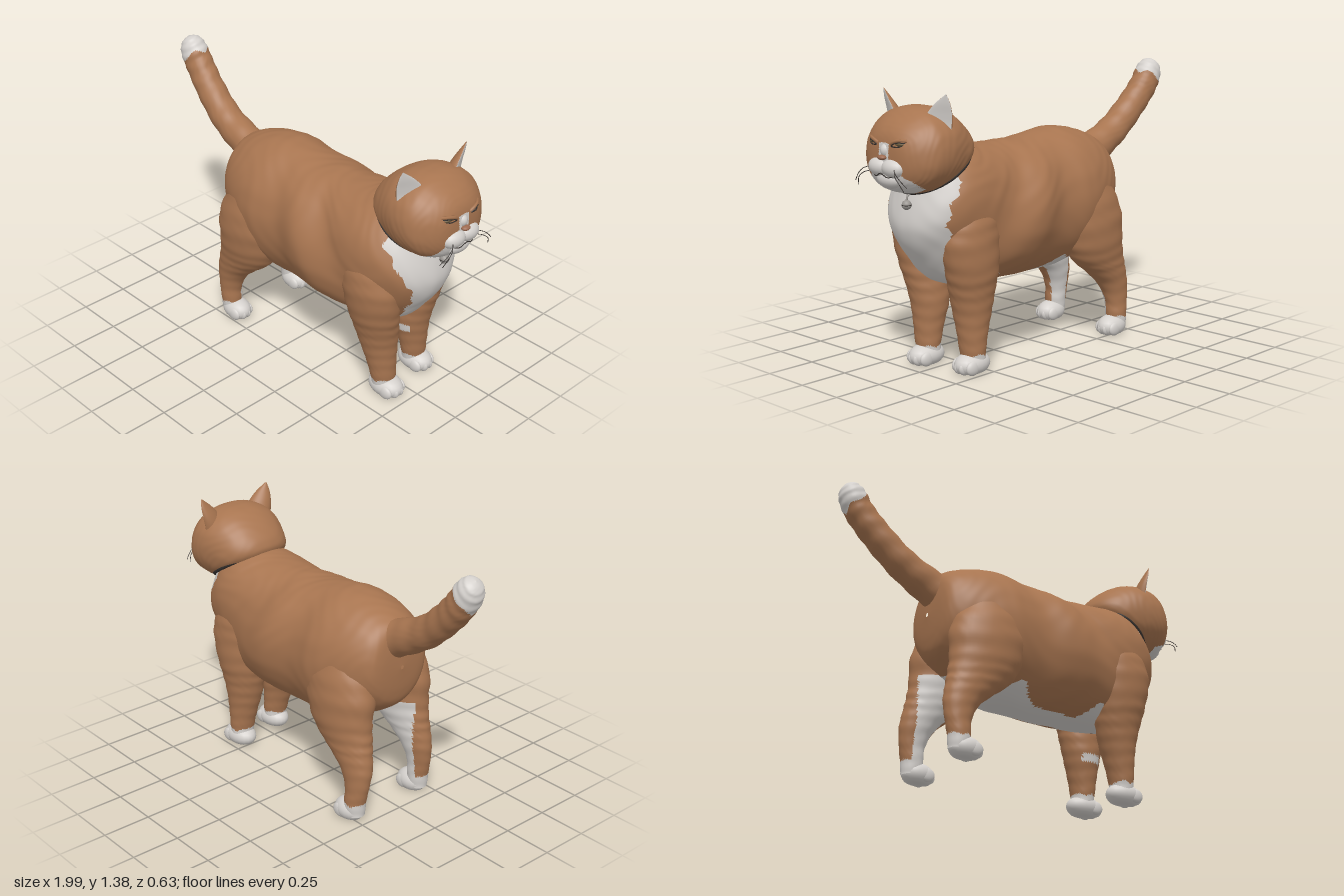
import * as THREE from 'three';

const mat = (name, color) => Object.assign(new THREE.MeshStandardMaterial({ color }), { name });
const fur = mat('ginger fur', 0xa87550);
const white = mat('white fur', 0xd4d0cc);
const dark = mat('dark collar and lines', 0x35302d);
const nosePink = mat('nose skin', 0x9c6a50);
const metal = mat('bell metal', 0x9a9691);
const iris = mat('eye', 0x6b5a3c);

// Catmull-Rom blend of four rows of numbers
function blend(rows, t) {
  const n = rows.length - 1, i = Math.min(Math.floor(t * n), n - 1), f = t * n - i;
  const [a, b, c, d] = [Math.max(i - 1, 0), i, i + 1, Math.min(i + 2, n)].map(k => rows[k]);
  return b.map((v, k) => v + 0.5 * f * (c[k] - a[k] + f * (2 * a[k] - 5 * v + 4 * c[k] - d[k] + f * (3 * (v - c[k]) + d[k] - a[k]))));
}

const bend = (v, e) => Math.sign(v) * Math.abs(v) ** e;

// Smooth skin over rounded sections; row = [x, y, z, radius along tilt, radius along z, tilt in degrees]
function loft(rows, { steps = 60, sides = 48, ripple = 0, waves = 0, fluff = 0, power = 1, warp = p => p } = {}) {
  const pos = [], index = [];
  for (let i = 0; i <= steps; i++) {
    const [x, y, z, ra, rb, deg] = blend(rows, i / steps);
    const a = THREE.MathUtils.degToRad(deg), t = i / steps;
    for (let j = 0; j < sides; j++) {
      const th = j / sides * Math.PI * 2;
      // Fur rings and wavy tufts
      const k = 1 + ripple * Math.sin(t * waves * Math.PI * 2 + Math.sin(th * 2))
        + fluff * Math.sin(9 * th + 3 * Math.sin(t * 22)) * Math.sin(t * 60 + 2 * Math.sin(5 * th));
      const p = warp(bend(Math.cos(th), power) * Math.max(ra, 0.001) * k);
      pos.push(x + Math.cos(a) * p, y + Math.sin(a) * p, z + bend(Math.sin(th), power) * Math.max(rb, 0.001) * k);
      if (i < steps) {
        const m = i * sides + j, r = i * sides + (j + 1) % sides;
        index.push(m, r, m + sides, r, r + sides, m + sides);
      }
    }
  }
  // Turn the faces outward whichever way the sections run
  const v = k => new THREE.Vector3().fromArray(pos, k * 3);
  let volume = 0;
  for (let i = 0; i < index.length; i += 3) volume += v(index[i]).dot(v(index[i + 1]).cross(v(index[i + 2])));
  if (volume < 0) index.reverse();
  const g = new THREE.BufferGeometry();
  g.setAttribute('position', new THREE.Float32BufferAttribute(pos, 3));
  g.setIndex(index);
  g.computeVertexNormals();
  return g;
}

// Splits faces into ginger and white by a rule on face centre and normal
function paint(g, isWhite) {
  const sets = [[], []], tri = new THREE.Triangle(), c = new THREE.Vector3(), n = new THREE.Vector3();
  const idx = g.index.array, p = g.attributes.position;
  for (let i = 0; i < idx.length; i += 3) {
    tri.setFromAttributeAndIndices(p, idx[i], idx[i + 1], idx[i + 2]);
    tri.getMidpoint(c);
    tri.getNormal(n);
    sets[isWhite(c, n) ? 1 : 0].push(idx[i], idx[i + 1], idx[i + 2]);
  }
  g.setIndex([...sets[0], ...sets[1]]);
  g.addGroup(0, sets[0].length, 0);
  g.addGroup(sets[0].length, sets[1].length, 1);
  return g;
}

// Bib edges at even heights from throat to belly: [right edge z, left edge z]
const bib = [[-0.23, 0.205], [-0.215, 0.185], [-0.19, 0.115], [-0.14, 0.085], [-0.05, 0.01]];
function inBib(y, z) {
  const [right, left] = blend(bib, THREE.MathUtils.clamp((0.95 - y) / 0.59, 0, 1));
  const wobble = 0.006 * Math.sin(y * 70);
  return z > right + wobble && z < left + wobble;
}

export function createModel() {
  const cat = new THREE.Group();
  cat.name = 'cat';
  const add = (parent, name, geometry, material) => {
    const m = new THREE.Mesh(geometry, material);
    m.name = name;
    parent.add(m);
    return m;
  };
  const blob = (parent, name, material, [x, y, z], [rx, ry, rz]) => {
    const g = new THREE.SphereGeometry(1, 20, 14).scale(rx, ry, rz).translate(x, y, z);
    return add(parent, name, g, material);
  };
  const strand = (parent, name, pts, r, material = dark, closed = false) => {
    const curve = new THREE.CatmullRomCurve3(pts.map(p => new THREE.Vector3(...p)), closed);
    return add(parent, name, new THREE.TubeGeometry(curve, closed ? 80 : 14, r, 6, closed), material);
  };

  // Body from rump to neck, with white bib and belly
  const body = loft([
    [-0.495, 0.78, 0, 0.01, 0.01, 90], [-0.485, 0.78, 0, 0.13, 0.13, 90], [-0.46, 0.785, 0, 0.21, 0.185, 90],
    [-0.39, 0.78, 0, 0.26, 0.235, 90], [-0.28, 0.765, 0, 0.31, 0.275, 90], [-0.145, 0.74, 0, 0.351, 0.298, 92],
    [0.03, 0.728, 0, 0.351, 0.28, 98], [0.22, 0.725, 0, 0.354, 0.318, 109], [0.41, 0.74, 0, 0.383, 0.268, 123],
    [0.53, 0.805, 0, 0.343, 0.268, 132], [0.63, 0.885, -0.005, 0.28, 0.25, 139], [0.66, 0.985, -0.015, 0.185, 0.185, 147],
    [0.72, 1.04, -0.018, 0.09, 0.09, 147],
  ], { steps: 130, sides: 120, fluff: 0.005 });
  paint(body, (c, n) => {
    if (c.x > 0.54 + 0.25 * Math.max(0, c.y - 0.4) && n.x > 0 && inBib(c.y, c.z)) return true;
    const edge = 0.4 + 0.07 * Math.exp(-(((c.x + 0.06) / 0.07) ** 2)) + 0.07 * Math.exp(-(((c.x - 0.43) / 0.06) ** 2))
      + 0.5 * Math.max(0, -0.1 - c.x);
    return c.x > -0.36 && c.x < 0.6 && n.y < 0 && c.y < edge;
  });
  add(cat, 'body', body, [fur, white]);

  // Tail with faint rings and a white tip
  const tail = loft([
    [-0.28, 0.86, 0, 0.12, 0.12, 70], [-0.47, 0.93, 0, 0.094, 0.088, 62], [-0.65, 1.02, 0, 0.08, 0.08, 55],
    [-0.79, 1.14, -0.01, 0.076, 0.075, 45], [-0.88, 1.24, -0.02, 0.075, 0.071, 38], [-0.928, 1.315, -0.02, 0.071, 0.068, 35],
    [-0.953, 1.36, -0.02, 0.045, 0.045, 35], [-0.962, 1.377, -0.02, 0.001, 0.001, 35],
  ], { steps: 90, ripple: 0.024, waves: 11, fluff: 0.008 });
  add(cat, 'tail', paint(tail, c => c.y - c.x > 2.18 + 0.02 * Math.sin(c.z * 60)), [fur, white]);

  // Legs: dx and dz shift the foot of each leg to its step
  const frontRows = [
    [0.53, 0.96, 0.13, 0.03, 0.02, 0], [0.54, 0.88, 0.14, 0.1, 0.075, 0], [0.555, 0.76, 0.155, 0.15, 0.11, 0],
    [0.57, 0.64, 0.165, 0.162, 0.115, 0], [0.57, 0.5, 0.155, 0.142, 0.112, 0], [0.57, 0.4, 0.14, 0.12, 0.103, 0],
    [0.575, 0.3, 0.13, 0.097, 0.093, 0], [0.588, 0.2, 0.13, 0.076, 0.077, 0], [0.6, 0.1, 0.13, 0.06, 0.066, 0], [0.6, 0.03, 0.13, 0.058, 0.058, 0],
  ];
  const hindRows = [
    [-0.22, 0.96, 0.14, 0.03, 0.02, 0], [-0.225, 0.9, 0.15, 0.1, 0.075, 0], [-0.235, 0.79, 0.165, 0.17, 0.115, 0],
    [-0.255, 0.65, 0.18, 0.21, 0.13, 0], [-0.275, 0.51, 0.188, 0.19, 0.118, 0], [-0.31, 0.42, 0.19, 0.167, 0.1, 0],
    [-0.36, 0.35, 0.195, 0.13, 0.084, 0], [-0.41, 0.27, 0.2, 0.092, 0.068, 0], [-0.428, 0.18, 0.208, 0.066, 0.055, 0],
    [-0.423, 0.1, 0.212, 0.056, 0.054, 0], [-0.423, 0.03, 0.212, 0.052, 0.048, 0],
  ];
  function leg(name, rows, side, dx, dz, pawX, length, width, hind) {
    const group = new THREE.Group();
    group.name = name;
    cat.add(group);
    const placed = rows.map(([x, y, z, ...rest]) => {
      const k = THREE.MathUtils.clamp(1 - y / 0.65, 0, 1) * 1.15;
      return [x + dx * k, y, side * (z + dz * k), ...rest];
    });
    const g = loft(placed, { steps: 85, sides: 48, ripple: 0.012, waves: 13, fluff: 0.006 });
    paint(g, (c, n) => c.y < 0.095 + 0.006 * Math.sin(c.x * 90)
      || (hind ? n.z * side < -0.4 && c.y < 0.52 && c.x > -0.45
        : side < 0 && n.z * side < -0.8 && c.y > 0.26 && c.y < 0.3));
    add(group, name + 'Limb', g, [fur, white]);
    // Paw with flat sole and four toes
    const foot = placed[placed.length - 1], x = foot[0] + pawX, z = foot[2];
    const paw = blob(group, name + 'Paw', white, [x, 0.044, z], [length, 0.058, width]);
    const p = paw.geometry.attributes.position;
    for (let i = 0; i < p.count; i++) p.setY(i, Math.max(p.getY(i), 0.002));
    for (let i = 0; i < 4; i++) {
      const o = i - 1.5, inner = Math.abs(o) < 1;
      blob(group, name + 'Toe', white, [x + length - (inner ? 0.042 : 0.06), 0.038, z + o * width * 0.46], [0.042, 0.036, width * 0.29]);
    }
  }
  leg('frontLeftLeg', frontRows, 1, 0.005, -0.035, 0.015, 0.1, 0.07, false);
  leg('frontRightLeg', frontRows, -1, -0.04, 0.04, 0.015, 0.1, 0.07, false);
  leg('hindLeftLeg', hindRows, 1, 0, -0.016, 0.037, 0.086, 0.065, true);
  leg('hindRightLeg', hindRows, -1, 0, 0.018, 0.037, 0.086, 0.065, true);

  // Head, centred a little to the right of the body
  const head = new THREE.Group();
  head.name = 'head';
  head.position.z = -0.018;
  cat.add(head);
  const skull = loft([
    [0.61, 0.965, 0, 0.1, 0.1, 146], [0.64, 0.998, 0, 0.18, 0.19, 144], [0.685, 1.04, 0, 0.2, 0.222, 126],
    [0.755, 1.075, 0, 0.207, 0.24, 111], [0.835, 1.08, 0, 0.196, 0.234, 100], [0.895, 1.068, 0, 0.166, 0.195, 95],
    [0.935, 1.06, 0, 0.128, 0.145, 92], [0.955, 1.055, 0, 0.08, 0.09, 90], [0.963, 1.055, 0, 0.001, 0.001, 90],
  ], { steps: 100, sides: 110, power: 0.9, fluff: 0.004 });
  paint(skull, c => c.x > 0.845 && Math.abs(c.z) < 0.15
    && (c.y < 1.09 - Math.abs(c.z) + 0.006 * Math.sin(c.z * 80) || (Math.abs(c.z) < 0.032 && c.y < 1.125)));
  add(head, 'skull', skull, [fur, white]);

  // Muzzle, chin and nose
  blob(head, 'chin', white, [0.918, 0.957, 0], [0.052, 0.045, 0.08]);
  blob(head, 'noseBridge', white, [0.935, 1.09, 0], [0.038, 0.036, 0.03]);
  blob(head, 'nose', nosePink, [0.971, 1.06, 0], [0.019, 0.012, 0.024]);
  strand(head, 'mouth', [[0.962, 0.985, -0.075], [0.974, 0.972, -0.04], [0.982, 0.99, 0], [0.974, 0.972, 0.04], [0.962, 0.985, 0.075]], 0.0025);

  for (const s of [1, -1]) {
    blob(head, 'muzzlePuff', white, [0.937, 1.012, s * 0.045], [0.052, 0.046, 0.068]);
    // Narrowed eye between two lids
    blob(head, 'eye', iris, [0.94, 1.124, s * 0.084], [0.015, 0.01, 0.03]);
    strand(head, 'upperLid', [[0.955, 1.122, s * 0.042], [0.957, 1.135, s * 0.068], [0.949, 1.142, s * 0.095], [0.928, 1.14, s * 0.122]], 0.008, fur);
    strand(head, 'eyeLine', [[0.957, 1.114, s * 0.048], [0.961, 1.126, s * 0.068], [0.954, 1.132, s * 0.095], [0.935, 1.13, s * 0.118]], 0.0025);
    strand(head, 'lowerLid', [[0.956, 1.112, s * 0.05], [0.954, 1.112, s * 0.085], [0.935, 1.122, s * 0.118]], 0.003);
    // Ear leaning outward, with a flattened pale inner face
    const ear = loft([
      [0, -0.06, 0, 0.055, 0.06, 0], [0, 0, 0, 0.052, 0.068, 0], [0.008, 0.05, s * 0.012, 0.04, 0.06, 0],
      [0.02, 0.1, s * 0.032, 0.022, 0.036, 0], [0.028, 0.142, s * 0.052, 0.002, 0.002, 0],
    ], { steps: 30, sides: 40, warp: p => (p > 0 ? p * 0.2 : p) });
    const earMesh = add(head, s > 0 ? 'leftEar' : 'rightEar', paint(ear, (c, n) => n.x > 0.5), [fur, white]);
    earMesh.position.set(0.77, 1.2, s * 0.152);
    earMesh.rotation.y = -s * 0.45;
    // Whiskers
    for (let i = 0; i < 2; i++) {
      const y = 1.015 - i * 0.02;
      strand(head, 'whisker', [[0.965, y, s * 0.075], [0.99, y - 0.01, s * 0.105], [0.994, y - 0.035, s * 0.135], [0.98, y - 0.075, s * (0.175 - i * 0.02)]], 0.0018);
    }
  }

  // Collar sunk in the neck fur, showing at the throat, and bell
  const ring = [], a = THREE.MathUtils.degToRad(148);
  for (let i = 0; i < 24; i++) {
    const t = i / 24 * Math.PI * 2, p = 0.188 * Math.cos(t);
    ring.push([0.666 + Math.cos(a) * p, 0.984 + Math.sin(a) * p, -0.018 + 0.188 * Math.sin(t)]);
  }
  strand(cat, 'collar', ring, 0.012, dark, true);
  strand(cat, 'bellLink', [[0.822, 0.882, -0.035], [0.838, 0.868, -0.035], [0.844, 0.848, -0.035]], 0.005, metal);
  blob(cat, 'bell', metal, [0.844, 0.828, -0.035], [0.023, 0.023, 0.023]);
  add(cat, 'bellBand', new THREE.TorusGeometry(0.0225, 0.002, 8, 24).rotateX(Math.PI / 2).translate(0.844, 0.828, -0.035), dark);
  return cat;
}
